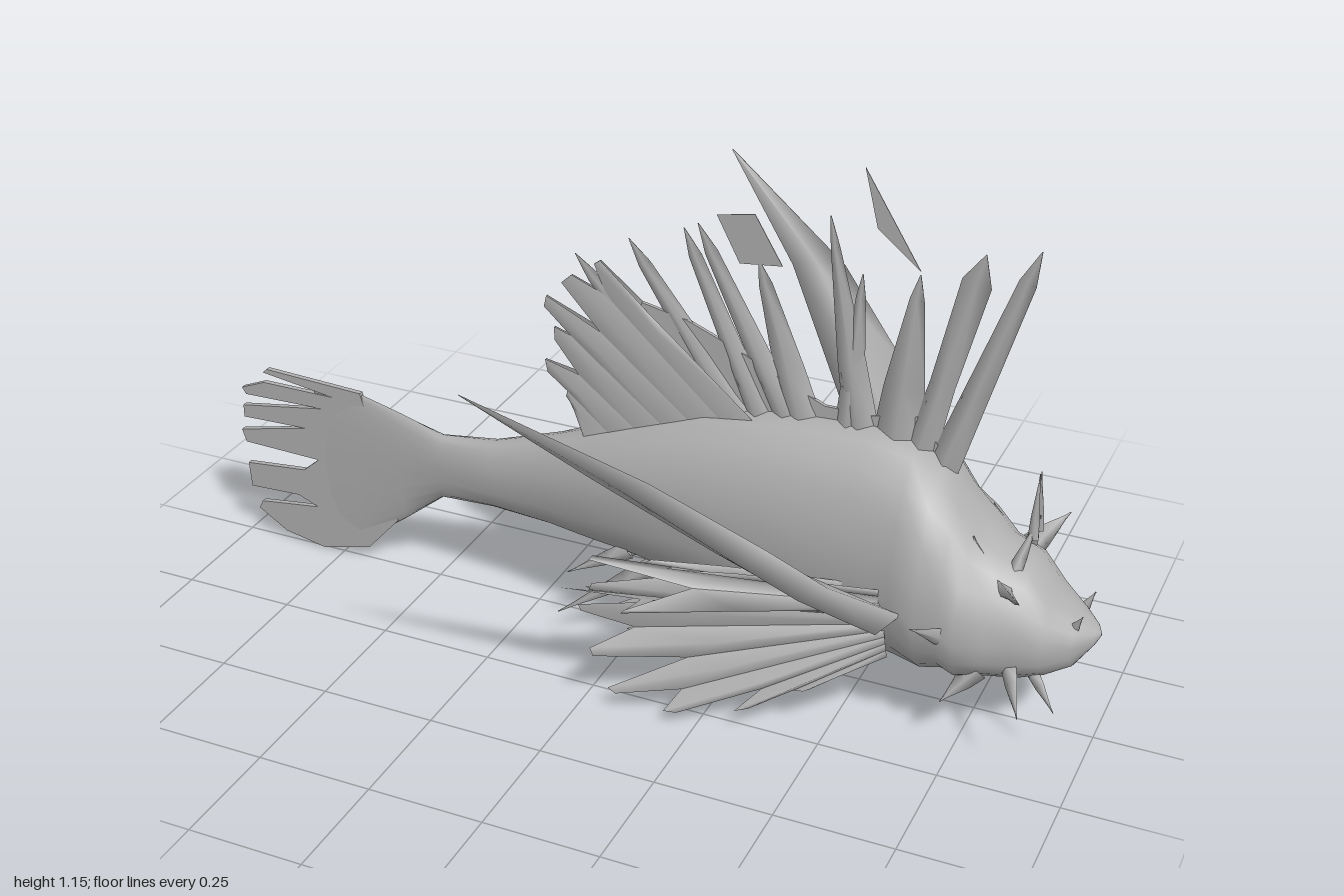
import * as THREE from 'three';

const V = (p) => new THREE.Vector3(...p);

export function createModel() {
  const root = new THREE.Group();
  const grey = new THREE.MeshStandardMaterial({ color: 0xb0b0b0, side: THREE.DoubleSide });
  grey.name = 'grey';

  function add(name, points, index, flip = false) {
    const g = new THREE.BufferGeometry().setFromPoints(points);
    g.setIndex(flip ? index.reverse() : index);
    g.computeVertexNormals();
    const m = new THREE.Mesh(g, grey);
    m.name = name;
    root.add(m);
  }

  // Side faces between rings of n points
  function ringIndex(rings, n) {
    const idx = [];
    for (let i = 1; i < rings; i++) for (let j = 0; j < n; j++) {
      const k = (j + 1) % n, p = (i - 1) * n, q = i * n;
      idx.push(p + j, p + k, q + j, p + k, q + k, q + j);
    }
    return idx;
  }

  // Loft of closed sections: [x, bottom, top, half width, height of widest point]
  function loft(name, stations, n = 20) {
    const pts = [];
    stations.forEach(([x, b, t, w, ym]) => {
      for (let j = 0; j < n; j++) {
        const a = (j / n) * Math.PI * 2, c = Math.cos(a), s = Math.sin(a);
        const y = s > 0 ? ym + (t - ym) * Math.pow(s, 1.05) : ym - (ym - b) * Math.pow(-s, 0.85);
        pts.push(V([x, y, w * Math.sign(c) * Math.pow(Math.abs(c), 0.9)]));
      }
    });
    add(name, pts, ringIndex(stations.length, n), true);
  }

  // Ragged pleated fan spread from a base line to a row of ray tips
  function fan(name, baseA, baseB, tips, { depth = 0.74, blunt = 0.1, pleat = [0, 0, 0], flip = false } = {}) {
    const A = V(baseA), B = V(baseB), T = tips.map(V), n = T.length, pts = [], idx = [];
    const base = (f) => A.clone().lerp(B, f);
    const valley = (i) => {
      const a = T[Math.max(i - 1, 0)], b = T[Math.min(i, n - 1)];
      const d = depth + (i % 2 ? 0.07 : -0.07);
      return base(i / n).lerp(a.clone().add(b).multiplyScalar(0.5), d).sub(V(pleat));
    };
    T.forEach((t, i) => {
      const across = T[Math.min(i + 1, n - 1)].clone().sub(T[Math.max(i - 1, 0)]).multiplyScalar(blunt);
      const ridge = base((i + 0.5) / n).lerp(t, 0.55).add(V(pleat));
      const o = pts.length;
      pts.push(base(i / n), base((i + 1) / n), valley(i), valley(i + 1),
        t.clone().addScaledVector(across, -0.5), t.clone().addScaledVector(across, 0.5), ridge);
      idx.push(o, o + 6, o + 1, o, o + 2, o + 6, o + 2, o + 4, o + 6,
        o + 4, o + 5, o + 6, o + 5, o + 3, o + 6, o + 3, o + 1, o + 6);
    });
    add(name, pts, idx, flip);
  }

  // Flat diamond-section spine
  function spine(name, from, to, width, thick, tipWidth = 0) {
    const a = V(from), b = V(to), dir = b.clone().sub(a).normalize();
    const side = new THREE.Vector3(0, 0, 1).cross(dir).normalize();
    const out = dir.clone().cross(side).normalize();
    const pts = [];
    [[0, width, thick], [0.35, width * 0.8, thick * 0.45], [0.86, Math.max(tipWidth, width * 0.15), thick * 0.12], [1, 0.002, 0.001]]
      .forEach(([f, w, t]) => {
        const c = a.clone().lerp(b, f);
        [[w, 0], [0, t], [-w, 0], [0, -t]].forEach(([u, v]) =>
          pts.push(c.clone().addScaledVector(side, u / 2).addScaledVector(out, v / 2)));
      });
    add(name, pts, ringIndex(4, 4));
  }

  // Thin plate from an x-y outline in the middle plane
  function plate(name, outline, depth) {
    const shape = new THREE.Shape(outline.map(([x, y]) => new THREE.Vector2(x, y)));
    const g = new THREE.ExtrudeGeometry(shape, { depth, bevelEnabled: false });
    const m = new THREE.Mesh(g.translate(0, 0, -depth / 2), grey);
    m.name = name;
    root.add(m);
  }

  // Body, narrowing to the flattened tail stalk, with gill ridges behind the head
  loft('body', [
    [-0.8, 0.01, 0.42, 0.005, 0.22], [-0.7, 0.04, 0.425, 0.01, 0.24], [-0.58, 0.13, 0.395, 0.017, 0.27],
    [-0.48, 0.21, 0.365, 0.026, 0.29], [-0.35, 0.22, 0.38, 0.044, 0.3], [-0.2, 0.215, 0.43, 0.067, 0.32],
    [-0.1, 0.21, 0.47, 0.098, 0.34], [0, 0.2, 0.51, 0.117, 0.37], [0.15, 0.17, 0.57, 0.13, 0.39],
    [0.32, 0.14, 0.6, 0.135, 0.38], [0.5, 0.125, 0.61, 0.14, 0.35], [0.6, 0.12, 0.595, 0.155, 0.31],
    [0.66, 0.12, 0.565, 0.18, 0.28], [0.7, 0.125, 0.51, 0.16, 0.27], [0.74, 0.125, 0.46, 0.182, 0.26],
    [0.79, 0.13, 0.415, 0.148, 0.25], [0.85, 0.135, 0.39, 0.13, 0.25], [0.9, 0.15, 0.33, 0.105, 0.24],
    [0.95, 0.175, 0.29, 0.068, 0.24], [0.985, 0.225, 0.265, 0.025, 0.245], [0.995, 0.245, 0.25, 0.002, 0.247],
  ]);

  // Ragged tail fin
  plate('tailFin', [
    [-0.68, 0.425], [-0.92, 0.435], [-0.93, 0.425], [-0.75, 0.4], [-0.93, 0.4], [-0.99, 0.375], [-0.98, 0.36], [-0.78, 0.365],
    [-0.99, 0.33], [-0.99, 0.3], [-0.83, 0.305], [-1, 0.265], [-0.99, 0.235], [-0.8, 0.23], [-0.84, 0.195],
    [-0.99, 0.18], [-0.985, 0.12], [-0.86, 0.125], [-0.81, 0.105], [-0.96, 0.085], [-0.97, 0.065], [-0.9, 0.02],
    [-0.8, 0], [-0.68, 0.03], [-0.6, 0.12],
  ], 0.012);

  // Dorsal spines: base x, base y, tip x, tip y, width, width near the tip
  [
    [0.65, 0.55, 0.81, 1.04, 0.065, 0.035], [0.6, 0.57, 0.705, 1.015, 0.065, 0.06], [0.55, 0.57, 0.58, 0.95, 0.105, 0.03],
    [0.48, 0.58, 0.395, 1.04, 0.075, 0.02], [0.45, 0.58, 0.465, 0.93, 0.06, 0.02], [0.36, 0.57, 0.25, 0.92, 0.085, 0.03],
    [0.33, 0.57, 0.12, 0.975, 0.065, 0.03], [0.27, 0.56, 0.09, 0.96, 0.06, 0.03], [0.22, 0.56, -0.03, 0.915, 0.07, 0.03],
    [0.14, 0.54, -0.15, 0.86, 0.08, 0.03],
  ].forEach(([x, y, tx, ty, w, tw]) => spine('dorsalSpine', [x, y, 0], [tx, ty, 0], w, 0.05, tw));
  plate('dorsalTipShard', [[0.46, 1.15], [0.49, 1.03], [0.58, 0.957]], 0.002);
  plate('dorsalShard', [[0.16, 1.0], [0.24, 1.015], [0.3, 0.915], [0.21, 0.905]], 0.002);
  plate('dorsalWeb', [[0.68, 0.53], [0.6, 0.65], [0.5, 0.63], [0.4, 0.63], [0.31, 0.67], [0.2, 0.72], [0.1, 0.76], [0, 0.78],
    [-0.05, 0.6], [0, 0.48], [0.3, 0.55]], 0.008);

  for (const s of [1, -1]) {
    const m = ([x, y, z]) => [x, y, z * s];
    const flip = s < 0;

    // Soft rear dorsal, two skins meeting at the tips
    fan('softDorsalFin', m([0.26, 0.58, 0.035]), m([-0.12, 0.45, 0.03]), [
      [-0.1, 0.85, 0.002], [-0.17, 0.8, 0.002], [-0.22, 0.74, 0.002], [-0.2, 0.67, 0.002], [-0.22, 0.59, 0.002], [-0.17, 0.52, 0.002],
    ].map(m), { depth: 0.76, blunt: 0.2, pleat: m([0, 0, 0.004]), flip });

    // Long swept upper pectoral blade, swelling at a midrib on both faces
    const edge = [[0.63, 0.29, 0.16], [0.53, 0.42, 0.32], [0.44, 0.53, 0.41], [0.25, 0.69, 0.525], [-0.07, 0.865, 0.65]];
    const rear = [[0.54, 0.23, 0.15], [0.41, 0.36, 0.27], [0.31, 0.46, 0.35], [0.13, 0.67, 0.52], [-0.07, 0.862, 0.648]];
    const swell = [0.03, 0.028, 0.026, 0.016, 0];
    const blade = [];
    edge.forEach((p, i) => {
      const a = V(m(p)), b = V(m(rear[i])), c = a.clone().lerp(b, 0.5);
      const out = V(m([0, -0.6, 0.78])).multiplyScalar(swell[i]);
      blade.push(a, c.clone().add(out), b, c.clone().sub(out));
    });
    add('pectoralBlade', blade, ringIndex(5, 4), flip);

    // Lower pectoral fans, an outer sheet and a smaller inner one
    fan('pectoralFin', m([0.58, 0.33, 0.15]), m([0.6, 0.17, 0.14]), [
      [0.23, 0.42, 0.38], [0.04, 0.375, 0.34], [0.15, 0.33, 0.43], [-0.03, 0.28, 0.33], [-0.02, 0.2, 0.27],
      [0.02, 0.12, 0.3], [0.07, 0.045, 0.31], [0.2, 0.03, 0.31], [0.34, 0.05, 0.27], [0.46, 0.1, 0.22],
    ].map(m), { depth: 0.77, pleat: m([0, 0.004, 0.014]), flip });
    fan('innerPectoralFin', m([0.52, 0.32, 0.13]), m([0.52, 0.16, 0.12]), [
      [0.12, 0.33, 0.24], [0, 0.25, 0.26], [0.06, 0.18, 0.24], [0.1, 0.11, 0.24], [0.22, 0.08, 0.21],
    ].map(m), { depth: 0.7, blunt: 0.12, pleat: m([0, 0, 0.012]), flip });

    // Ragged belly fins
    fan('bellyFin', m([0.2, 0.2, 0.08]), m([0.45, 0.14, 0.08]), [
      [-0.08, 0.14, 0.11], [-0.02, 0.1, 0.1], [0.02, 0.06, 0.11], [0.14, 0.08, 0.07], [0.24, 0.1, 0.1],
    ].map(m), { depth: 0.62, pleat: m([0, 0, 0.008]), flip });
    spine('analSpine', m([0.08, 0.22, 0.07]), m([-0.15, 0.06, 0.11]), 0.05, 0.02);
    spine('analSpine', m([0.0, 0.23, 0.07]), m([-0.13, 0.16, 0.1]), 0.04, 0.02);

    // Brow horns, crest tentacle, whiskers and cheek barbs: from, to, width
    [
      ['browHorn', [0.81, 0.35, 0.08], [0.87, 0.395, 0.19], 0.06],
      ['crestTentacle', [0.82, 0.37, 0.06], [0.85, 0.48, 0.01], 0.03],
      ['crestTentacle', [0.845, 0.44, 0.02], [0.845, 0.58, 0.005], 0.022],
      ['browSpike', [0.76, 0.37, 0.08], [0.74, 0.45, 0.07], 0.06],
      ['gillSpike', [0.74, 0.25, 0.14], [0.66, 0.29, 0.2], 0.06],
      ['cheekBarb', [0.78, 0.18, 0.12], [0.72, 0.11, 0.16], 0.05],
      ['cheekBarb', [0.84, 0.2, 0.11], [0.89, 0.15, 0.21], 0.04],
      ['chinWhisker', [0.88, 0.17, 0.07], [0.94, 0.12, 0.12], 0.03],
      ['noseWhisker', [0.94, 0.26, 0.04], [0.965, 0.31, 0.05], 0.025],
    ].forEach(([name, a, b, w]) => spine(name, m(a), m(b), w, w * 0.6));
  }
  return root;
}
